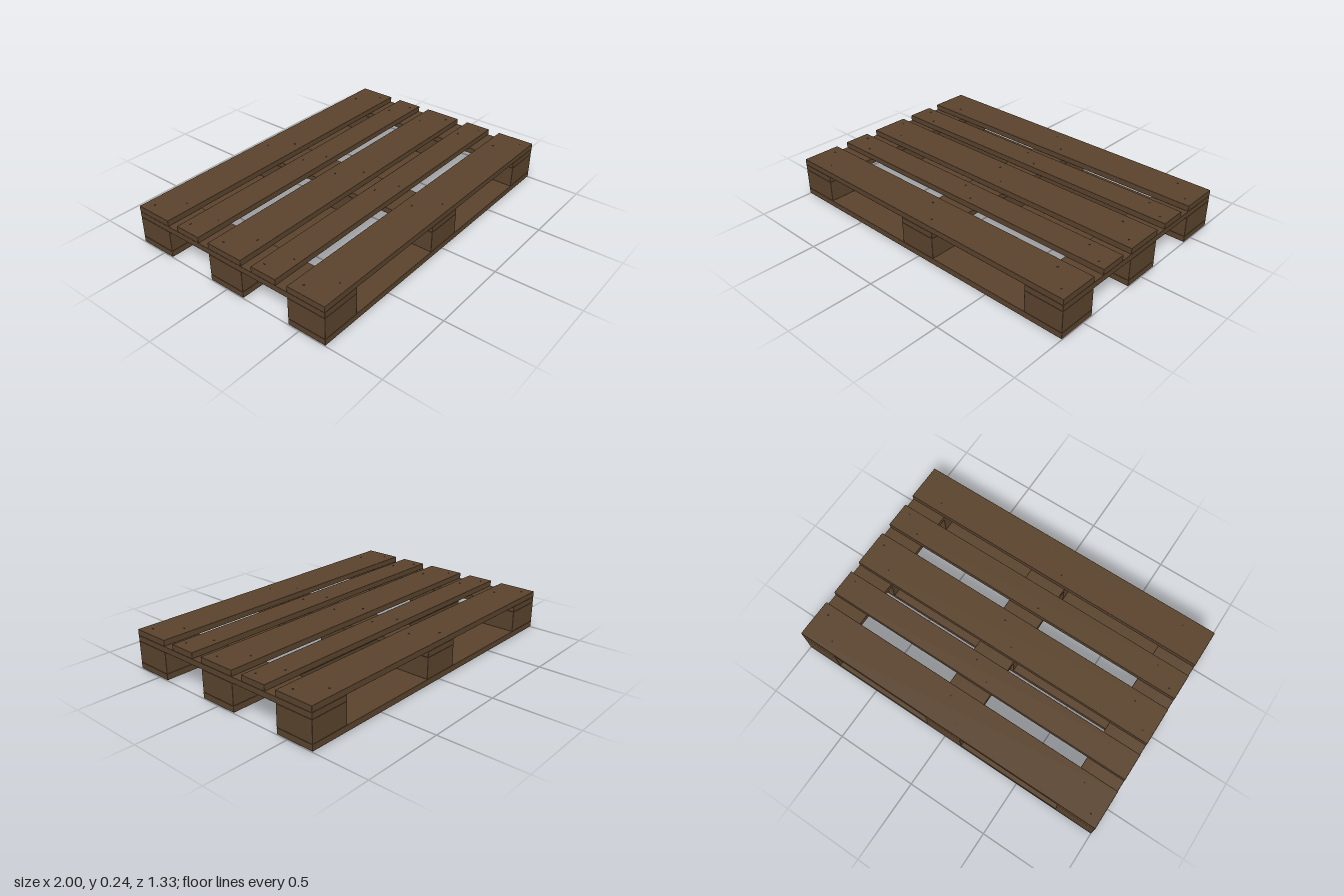
import * as THREE from 'three';
import { RoundedBoxGeometry } from 'three/addons/geometries/RoundedBoxGeometry.js';

export function createModel() {
  const pallet = new THREE.Group();
  pallet.name = 'pallet';
  const wood = new THREE.MeshStandardMaterial({ color: 0x5a432d });
  wood.name = 'brown wood';
  const steel = new THREE.MeshStandardMaterial({ color: 0x45403a });
  steel.name = 'dark nail steel';

  // timber with slightly eased edges, spanning y0 to y1
  function timber(name, w, d, x, y0, y1, z) {
    const mesh = new THREE.Mesh(new RoundedBoxGeometry(w, y1 - y0, d, 1, 0.003), wood);
    mesh.name = name;
    mesh.position.set(x, (y0 + y1) / 2, z);
    pallet.add(mesh);
  }

  // nail head standing slightly proud of a board
  const nailGeometry = new THREE.CylinderGeometry(0.005, 0.005, 0.004, 8);
  function nail(x, y, z) {
    const mesh = new THREE.Mesh(nailGeometry, steel);
    mesh.name = 'nailHead';
    mesh.position.set(x, y, z);
    pallet.add(mesh);
  }

  const wide = 0.237, narrow = 0.165;
  const columns = [-0.881, 0, 0.881];
  const rows = [-0.548, 0, 0.548];

  // bottom runners and the nine spacer blocks
  for (const z of rows) {
    timber('bottomBoard', 2, wide, 0, 0.003, 0.04, z);
    for (const x of columns) {
      timber('spacerBlock', wide, wide, x, 0.04, 0.169, z);
      for (const s of [-1, 1]) nail(x + s * 0.06, 0.002, z + s * 0.06);
    }
  }

  // cross boards joining the blocks from front to back
  for (const x of columns) timber('crossBoard', wide, 1.333, x, 0.169, 0.204, 0);

  // deck boards, alternating wide and narrow, nailed at every crossing
  [-0.548, -0.273, 0, 0.273, 0.548].forEach((z, i) => {
    const depth = i % 2 ? narrow : wide;
    timber('deckBoard', 2, depth, 0, 0.204, 0.24, z);
    for (const x of columns)
      for (const s of [-1, 1]) nail(x + s * 0.06, 0.2405, z + s * depth * 0.255);
  });

  return pallet;
}
